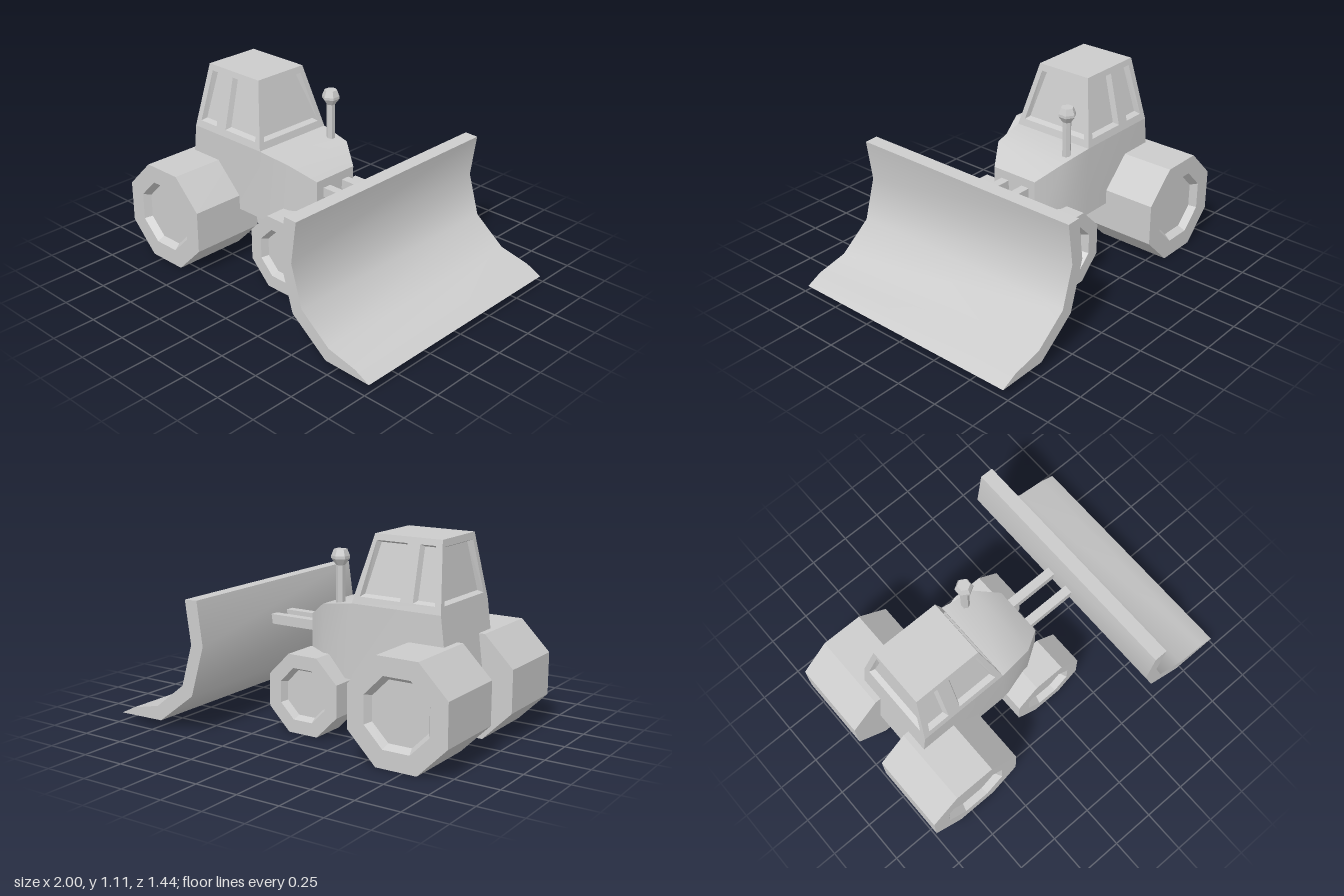
import * as THREE from 'three';
import { toCreasedNormals } from 'three/addons/utils/BufferGeometryUtils.js';

const flat = new THREE.MeshStandardMaterial({ color: 0xcccccc, flatShading: true });
const smooth = new THREE.MeshStandardMaterial({ color: 0xcccccc });

function add(parent, name, geometry, material = flat) {
  const mesh = new THREE.Mesh(geometry, material);
  mesh.name = name;
  parent.add(mesh);
  return mesh;
}

// Surface from four-cornered faces, corners counter-clockwise from outside
function quads(list) {
  const pos = [];
  for (const [a, b, c, d] of list) pos.push(...a, ...b, ...c, ...a, ...c, ...d);
  const g = new THREE.BufferGeometry();
  g.setAttribute('position', new THREE.Float32BufferAttribute(pos, 3));
  g.computeVertexNormals();
  return g;
}

const shapeOf = pts => new THREE.Shape(pts.map(p => new THREE.Vector2(p[0], p[1])));

// Eight-sided wheel with a bevelled hub recess on its outer face
function wheel(parent, name, x, radius, hub, zIn, zOut, side) {
  const k = 1 / Math.cos(Math.PI / 8);
  const profile = [
    [0, zIn], [radius * k, zIn], [radius * k, zOut],
    [hub * k, zOut], [hub * 0.87 * k, zOut - 0.04], [0, zOut - 0.04],
  ].map(p => new THREE.Vector2(p[0], p[1]));
  const g = new THREE.LatheGeometry(profile, 8, Math.PI / 8);
  g.rotateX(side * Math.PI / 2);
  add(parent, name, g).position.set(x, radius + 0.004, -0.002);
}

// Body: box sections running from back to front
function body() {
  // [x at top, x at bottom, half width, top height]
  const rings = [
    [-0.775, -0.828, 0.255, 0.745], [-0.24, -0.24, 0.255, 0.745],
    [-0.04, -0.04, 0.23, 0.715], [0.09, 0.09, 0.145, 0.63],
  ].map(([xt, xb, w, y]) => [[xb, 0.33, -w], [xb, 0.33, w], [xt, y, w], [xt, y, -w]]);
  const faces = [rings[0], [...rings[3]].reverse()];
  for (let i = 0; i < 3; i++) {
    for (let j = 0; j < 4; j++) {
      const n = (j + 1) % 4;
      faces.push([rings[i][j], rings[i + 1][j], rings[i + 1][n], rings[i][n]]);
    }
  }
  faces[0] = [...rings[0]];
  return toCreasedNormals(quads(faces), 0.7);
}

// Cab: four leaning walls with recessed windows, and a roof
function cab() {
  const group = new THREE.Group();
  group.name = 'cab';
  const y0 = 0.745, y1 = 1.113;
  const at = (a, b, y) => a + (b - a) * (y - y0) / (y1 - y0);
  const half = y => at(0.255, 0.17, y);
  const front = y => at(-0.24, -0.33, y);
  const back = y => at(-0.775, -0.73, y);
  const mirror = q => q.map(([u, y]) => [-u, y]).reverse();

  const sideWall = [[-0.775, y0], [-0.24, y0], [-0.33, y1], [-0.73, y1]];
  const sideWindows = [
    [[-0.735, 0.785], [-0.605, 0.785], [-0.605, 1.08], [-0.697, 1.08]],
    [[-0.53, 0.785], [-0.285, 0.785], [-0.345, 1.08], [-0.53, 1.08]],
  ];
  const endWall = [[-0.255, y0], [0.255, y0], [0.17, y1], [-0.17, y1]];
  const endWindows = [[[-0.213, 0.785], [0.213, 0.785], [0.147, 1.076], [-0.147, 1.076]]];

  // Each wall maps (across, height, depth inwards) to a point
  const walls = [
    ['leftWall', sideWall, sideWindows, (u, y, d) => [u, y, half(y) - d]],
    ['rightWall', mirror(sideWall), sideWindows.map(mirror), (u, y, d) => [-u, y, d - half(y)]],
    ['frontWall', endWall, endWindows, (u, y, d) => [front(y) - d, y, -u]],
    ['backWall', endWall, endWindows, (u, y, d) => [back(y) + d, y, u]],
  ];
  for (const [name, outline, windows, map] of walls) {
    const shape = shapeOf(outline);
    shape.holes = windows.map(w => new THREE.Path(shapeOf(w).getPoints()));
    const g = new THREE.ShapeGeometry(shape);
    const p = g.attributes.position;
    for (let i = 0; i < p.count; i++) p.setXYZ(i, ...map(p.getX(i), p.getY(i), 0));
    g.computeVertexNormals();
    add(group, name, g);

    const faces = [];
    for (const w of windows) {
      const cu = w.reduce((s, q) => s + q[0], 0) / 4;
      const cy = w.reduce((s, q) => s + q[1], 0) / 4;
      const outer = w.map(([u, y]) => map(u, y, 0));
      const inner = w.map(([u, y]) =>
        map(u - Math.sign(u - cu) * 0.013, y - Math.sign(y - cy) * 0.012, 0.03));
      for (let i = 0; i < 4; i++) {
        const n = (i + 1) % 4;
        faces.push([outer[i], outer[n], inner[n], inner[i]]);
      }
      faces.push(inner);
    }
    add(group, name + 'Windows', quads(faces));
  }
  add(group, 'roof', quads([
    [[-0.73, y1, 0.17], [-0.33, y1, 0.17], [-0.33, y1, -0.17], [-0.73, y1, -0.17]],
  ]));
  group.position.z = -0.005;
  return group;
}

export function createModel() {
  const model = new THREE.Group();
  model.name = 'tractorWithBlade';

  add(model, 'body', body(), smooth).position.z = -0.005;
  model.add(cab());

  for (const side of [1, -1]) {
    const label = side > 0 ? 'left' : 'right';
    wheel(model, label + 'RearWheel', -0.71, 0.29, 0.19, 0.12, 0.57, side);
    wheel(model, label + 'FrontWheel', 0.01, 0.22, 0.145, 0.147, 0.357, side);
  }

  // Hexagonal exhaust pipe with a flared cap
  const pipe = [[0.025, 0.68], [0.025, 0.93], [0.05, 0.965], [0.05, 0.98], [0.036, 1.015], [0, 1.015]];
  const exhaust = new THREE.LatheGeometry(pipe.map(p => new THREE.Vector2(p[0], p[1])), 6);
  add(model, 'exhaust', exhaust).position.set(-0.127, 0, -0.195);

  // Push arms between body and blade
  for (const z of [-0.083, 0.062]) {
    add(model, 'pushArm', new THREE.BoxGeometry(0.36, 0.055, 0.052)).position.set(0.23, 0.552, z);
  }

  // Curved blade, a side profile swept across the full width
  const profile = [
    [0.43, 0.76], [0.395, 0.515], [0.48, 0.23], [0.71, 0.055], [1, 0.05],
    [0.91, 0.095], [0.73, 0.135], [0.545, 0.28], [0.475, 0.515], [0.51, 0.757],
  ];
  const blade = new THREE.ExtrudeGeometry(shapeOf(profile), { depth: 1.438, bevelEnabled: false });
  blade.translate(0, 0, -0.719);
  add(model, 'blade', toCreasedNormals(blade, 0.7), smooth);

  return model;
}
